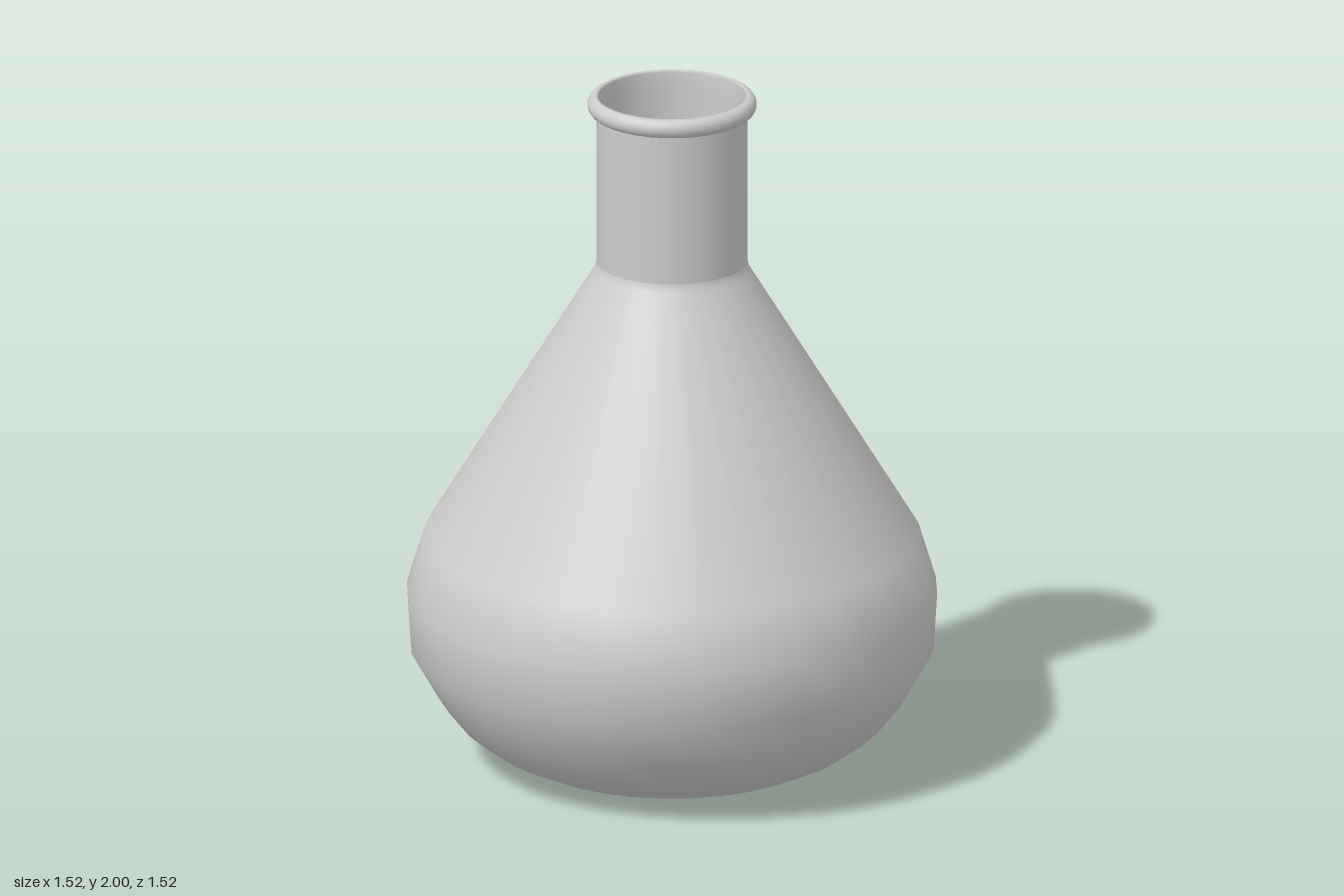
import * as THREE from 'three';

const SIDES = 32;

// Revolve a list of [radius, height] pairs around the vertical axis
function revolve(name, pairs, material) {
  const points = pairs.map(([r, y]) => new THREE.Vector2(r, y));
  const mesh = new THREE.Mesh(new THREE.LatheGeometry(points, SIDES), material);
  mesh.name = name;
  return mesh;
}

export function createModel() {
  const group = new THREE.Group();
  group.name = 'flask';
  const glass = new THREE.MeshStandardMaterial({ color: 0xcccccc, side: THREE.DoubleSide });
  glass.name = 'greyGlass';

  // Flat base, round belly and conical shoulder
  group.add(revolve('body', [
    [0, 0], [0.34, 0.004], [0.44, 0.022], [0.53, 0.065], [0.61, 0.125],
    [0.67, 0.2], [0.75, 0.34], [0.76, 0.51], [0.71, 0.675],
    [0.222, 1.475], [0.216, 1.5],
  ], glass));

  // Straight open neck
  group.add(revolve('neck', [[0.216, 1.5], [0.216, 1.95]], glass));

  // Rounded lip with a straight inner wall
  const lip = [[0.211, 1.944]];
  for (let i = 0; i <= 8; i++) {
    const a = -Math.PI / 2 + (i / 8) * Math.PI;
    lip.push([0.216 + 0.027 * Math.cos(a), 1.972 + 0.028 * Math.sin(a)]);
  }
  lip.push([0.211, 1.994], [0.211, 1.944]);
  group.add(revolve('lip', lip, glass));

  return group;
}
